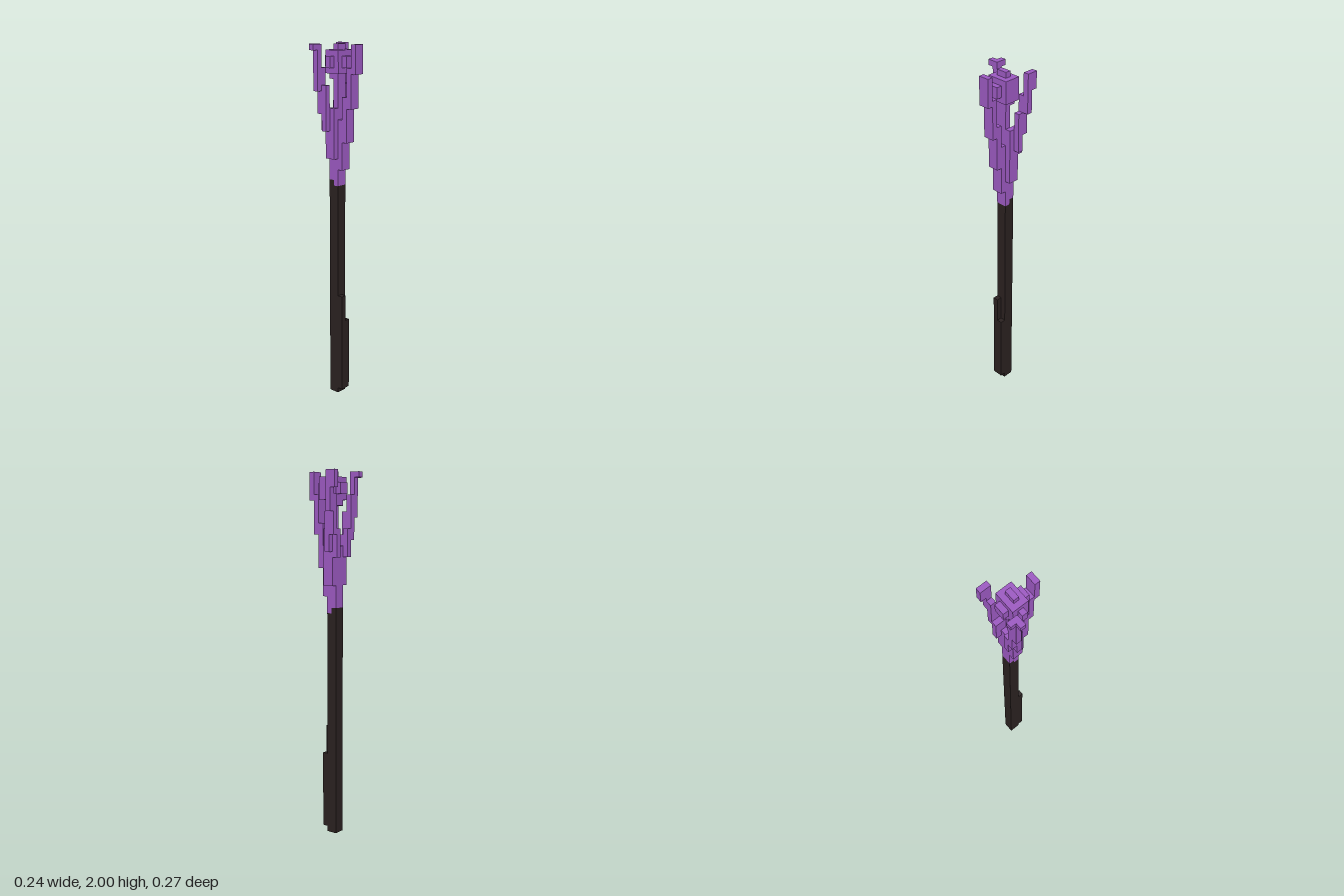
import * as THREE from 'three';

// Edge length of one voxel; the staff is 66 voxels tall
const U = 1 / 33;

export function createModel() {
  const model = new THREE.Group();
  model.name = 'staff';
  const darkWood = new THREE.MeshStandardMaterial({ color: 0x2a2120 });
  darkWood.name = 'darkWood';
  const purple = new THREE.MeshStandardMaterial({ color: 0x9b59c0 });
  purple.name = 'purpleCrystal';

  // Builds a named part from blocks given as voxel ranges [x0, x1, y0, y1, z0, z1]
  function part(name, material, blocks) {
    const group = new THREE.Group();
    group.name = name;
    for (const [x0, x1, y0, y1, z0, z1] of blocks) {
      const geometry = new THREE.BoxGeometry((x1 - x0) * U, (y1 - y0) * U, (z1 - z0) * U);
      const mesh = new THREE.Mesh(geometry, material);
      mesh.name = name + 'Block';
      mesh.position.set(((x0 + x1) / 2 - 4) * U, ((y0 + y1) / 2) * U, ((z0 + z1) / 2 - 4.5) * U);
      group.add(mesh);
    }
    model.add(group);
  }

  // Shaft with a stepped top edge, and the thicker grip on its left side
  part('shaft', darkWood, [
    [2, 3, 0, 42, 3, 5],
    [3, 4, 0, 41, 3, 5],
  ]);
  part('grip', darkWood, [
    [4, 5, 1, 20, 4, 5],
    [4, 5, 1, 15, 3, 4],
  ]);

  // Collar above the shaft and the thin stem that holds the orb
  part('collar', purple, [
    [2, 3, 42, 53, 3, 5],
    [3, 4, 41, 53, 3, 5],
  ]);
  part('stem', purple, [[3, 4, 53, 61, 3, 5]]);

  // Three stepped prongs that spread outwards
  part('leftProng', purple, [
    [4, 5, 44, 53, 3, 5],
    [5, 6, 49, 57, 3, 5],
    [6, 7, 55, 62, 3, 5],
    [7, 8, 61, 66, 3, 5],
  ]);
  part('frontProng', purple, [
    [2, 4, 46, 55, 5, 6],
    [1, 2, 51, 56, 5, 6],
    [2, 3, 51, 59, 6, 7],
    [1, 2, 54, 62, 6, 7],
    [1, 2, 58, 66, 7, 8],
    [0, 1, 65, 66, 7, 8],
    [1, 2, 65, 66, 8, 9],
  ]);
  part('backProng', purple, [
    [2, 4, 46, 56, 2, 3],
    [1, 2, 51, 56, 2, 3],
    [2, 3, 52, 59, 1, 2],
    [1, 2, 55, 62, 1, 2],
    [1, 2, 59, 66, 0, 1],
    [0, 1, 63, 66, 0, 1],
  ]);

  // Orb with small bumps on its sides, top and underside
  part('orb', purple, [[2, 5, 61, 65, 2, 6]]);
  part('orbBumps', purple, [
    [5, 6, 62, 64, 3, 5],
    [1, 2, 62, 64, 3, 5],
    [3, 4, 62, 64, 6, 7],
    [3, 4, 65, 66, 3, 5],
    [2, 3, 60, 61, 3, 5],
  ]);

  return model;
}
